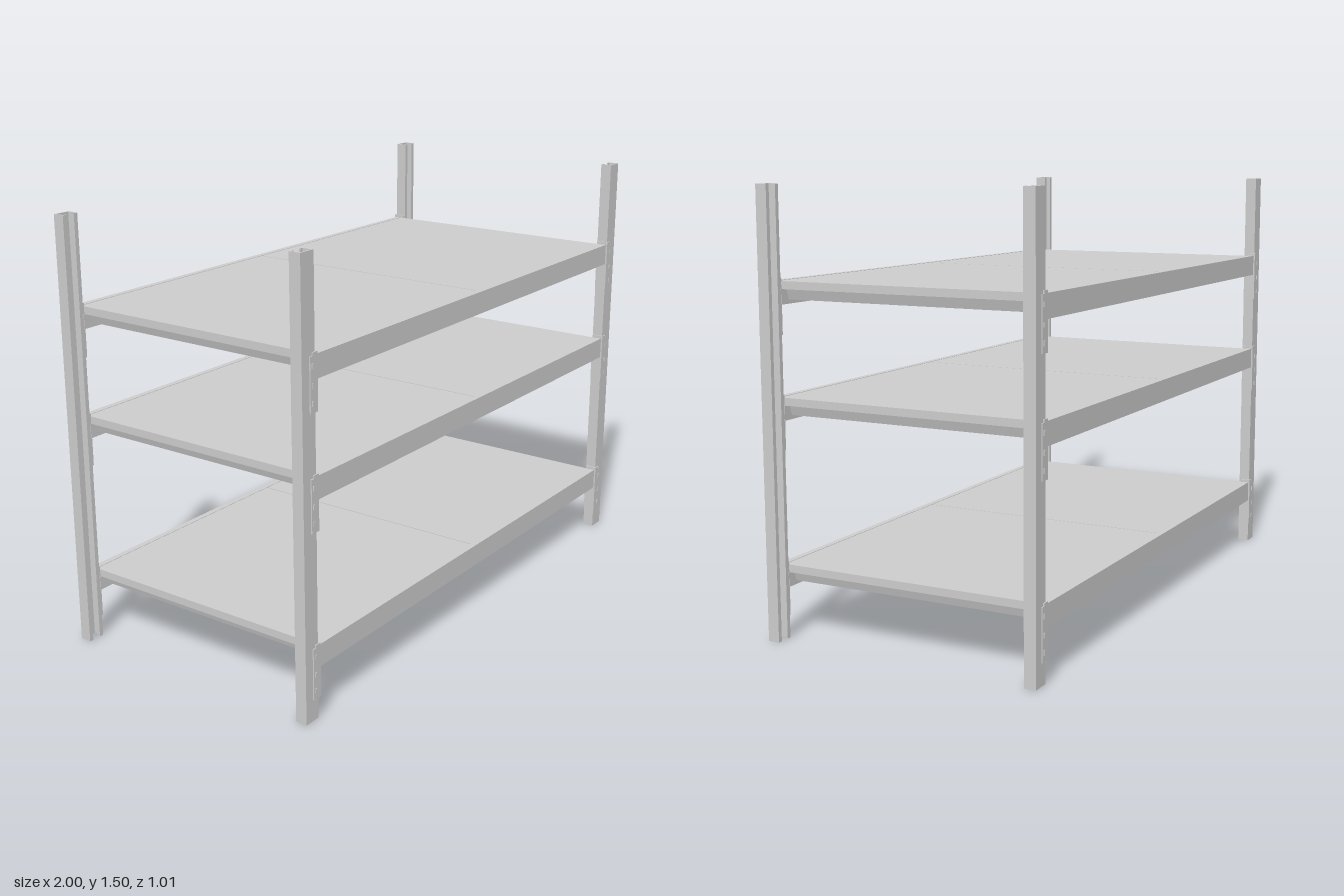
import * as THREE from 'three';

const material = new THREE.MeshStandardMaterial({ color: 0xcccccc, flatShading: true, side: THREE.DoubleSide });

const mesh = (name, geometry) => {
  const m = new THREE.Mesh(geometry, material);
  m.name = name;
  return m;
};

// Box given by its minimum and maximum corners
const block = (name, [x0, y0, z0], [x1, y1, z1]) => mesh(name,
  new THREE.BoxGeometry(x1 - x0, y1 - y0, z1 - z0)
    .translate((x0 + x1) / 2, (y0 + y1) / 2, (z0 + z1) / 2));

const extrude = (points, depth) => new THREE.ExtrudeGeometry(
  new THREE.Shape(points.map(([x, y]) => new THREE.Vector2(x, y))),
  { depth, bevelEnabled: false });

const POST_X = 0.969, POST_HEIGHT = 1.5;
const SHELF_TOPS = [0.25, 0.81, 1.19];

// Lipped channel, web facing outward and open toward the middle of the rack
function post(x) {
  const w = 0.031, t = 0.005, lip = 0.016, front = 0.497, back = 0.456;
  const half = [[w, front], [w, back], [lip, back], [lip, back + t], [w - t, back + t], [w - t, front - t]];
  const outline = [...half, ...half.map(([a, z]) => [-a, z]).reverse()];
  const geometry = extrude(outline.map(([a, z]) => [a, -z]), POST_HEIGHT);
  return mesh('post', geometry.rotateX(-Math.PI / 2).translate(x, 0, 0));
}

// Stepped beam: the inner ledge carries the deck
function beam(top) {
  const outline = [[0.496, 0], [0.474, 0], [0.474, -0.027], [0.456, -0.027], [0.456, -0.077], [0.496, -0.077]];
  const geometry = extrude(outline.map(([z, y]) => [-z, y]), 1.872);
  return mesh('beam', geometry.rotateY(Math.PI / 2).translate(-0.936, top, 0));
}

// Angle bracket that hooks the beam end onto the post
function bracket(side, top) {
  const group = new THREE.Group();
  group.name = 'beamBracket';
  const y0 = top - 0.175, y1 = top + 0.01;
  const at = (a, b) => side > 0 ? [a, b] : [-b, -a];
  const add = (name, xs, ys, zs) => {
    const [a, b] = at(...xs);
    group.add(block(name, [a, ys[0], zs[0]], [b, ys[1], zs[1]]));
  };
  add('bracketSide', [0.931, 0.937], [y0, y1], [0.458, 0.502]);
  add('bracketFace', [0.931, 0.966], [y0 + 0.01, y1 - 0.01], [0.498, 0.502]);
  add('bracketTopTab', [0.931, 0.955], [y1 - 0.01, y1], [0.498, 0.502]);
  add('bracketFootTab', [0.931, 0.966], [y0, y0 + 0.01], [0.498, 0.502]);
  for (const dy of [0.03, 0.09, 0.145])
    add('hookStud', [0.953, 0.96], [top - dy - 0.008, top - dy + 0.008], [0.502, 0.505]);
  return group;
}

// One deck panel: a flat tray with stiffening ribs hanging between the beams
function deckPanel(x0, x1, top) {
  const group = new THREE.Group();
  group.name = 'deckPanel';
  group.add(block('deckPlate', [x0, top - 0.027, -0.473], [x1, top - 0.001, 0.473]));
  const count = 8, pitch = (x1 - x0) / count, wide = 0.036, narrow = 0.024;
  const rib = extrude([[-wide, 0], [-narrow, -0.037], [narrow, -0.037], [wide, 0]], 0.91).translate(0, 0, -0.455);
  for (let i = 0; i < count; i++) {
    const r = mesh('deckRib', rib);
    r.position.set(x0 + pitch * (i + 0.5), top - 0.026, 0);
    group.add(r);
  }
  return group;
}

// Two posts with the beams between them
function frame(name) {
  const group = new THREE.Group();
  group.name = name;
  group.add(post(-POST_X), post(POST_X));
  for (const top of SHELF_TOPS)
    group.add(beam(top), bracket(-1, top), bracket(1, top));
  return group;
}

export function createModel() {
  const model = new THREE.Group();
  model.name = 'shelvingRack';
  const back = frame('backFrame');
  back.rotation.y = Math.PI;
  model.add(frame('frontFrame'), back);
  for (const top of SHELF_TOPS)
    model.add(deckPanel(-0.932, -0.002, top), deckPanel(0.002, 0.932, top));
  return model;
}
